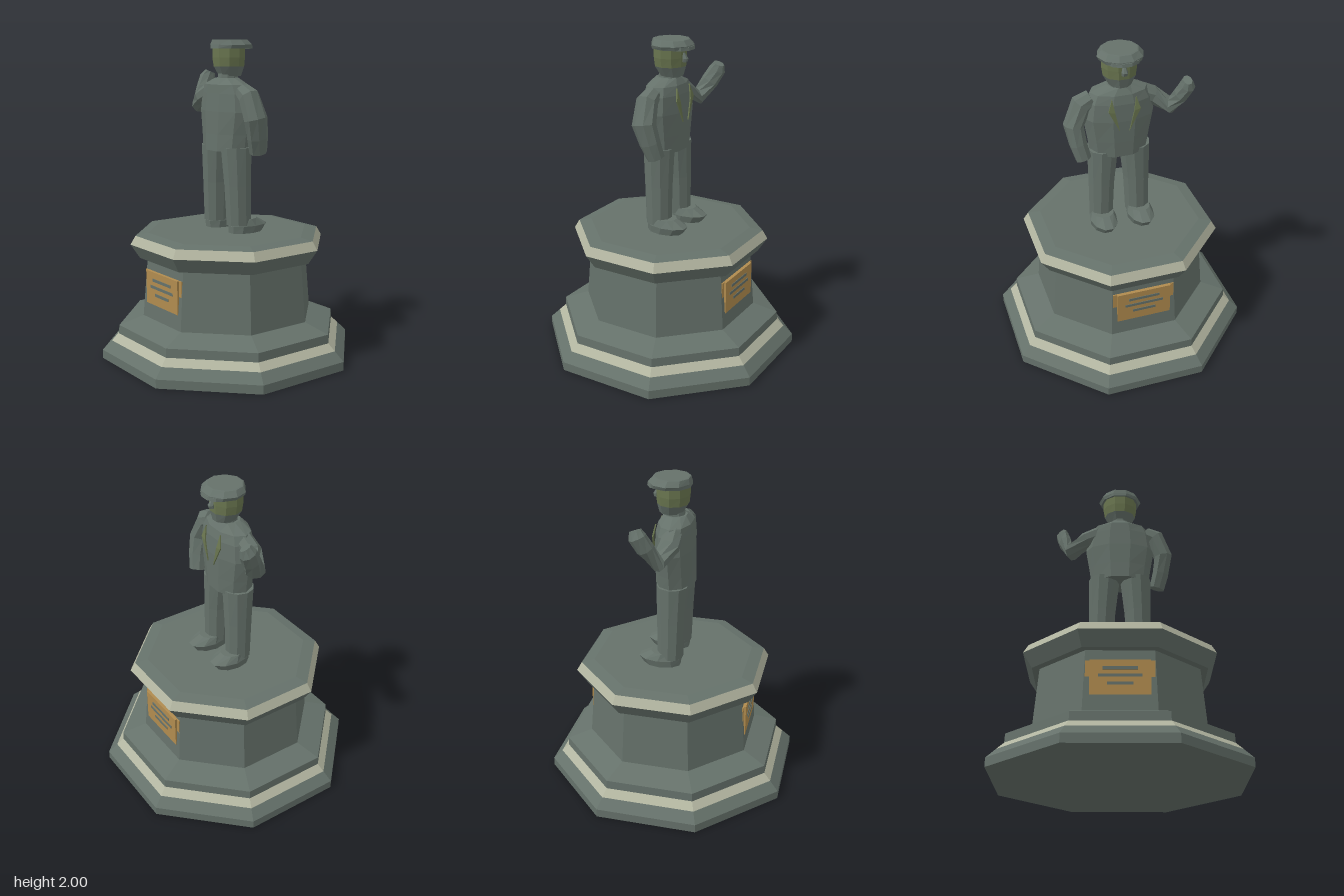
import * as THREE from 'three';

const V = (x, y, z) => new THREE.Vector3(x, y, z);
const material = (name, color) => {
  const m = new THREE.MeshStandardMaterial({ color });
  m.name = name;
  return m;
};

// Flat-faced skin over a list of rings, each an array of points
function skin(rings, capStart = true, capEnd = true) {
  const out = [];
  const tri = (...pts) => pts.forEach((p) => out.push(p.x, p.y, p.z));
  const n = rings[0].length;
  for (let k = 0; k < rings.length - 1; k++) {
    for (let i = 0; i < n; i++) {
      const j = (i + 1) % n, a = rings[k], b = rings[k + 1];
      tri(a[i], b[i], a[j]);
      tri(a[j], b[i], b[j]);
    }
  }
  const first = rings[0], last = rings[rings.length - 1];
  for (let i = 1; i < n - 1; i++) {
    if (capStart) tri(first[0], first[i], first[i + 1]);
    if (capEnd) tri(last[0], last[i + 1], last[i]);
  }
  const g = new THREE.BufferGeometry();
  g.setAttribute('position', new THREE.Float32BufferAttribute(out, 3));
  g.computeVertexNormals();
  return g;
}

// Ring spanned by two half-axes u and v around a centre
function ring(c, u, v, n, phase = 0) {
  return Array.from({ length: n }, (_, i) => {
    const a = ((i + phase) / n) * Math.PI * 2;
    return c.clone().addScaledVector(u, Math.cos(a)).addScaledVector(v, Math.sin(a));
  });
}

// Upright form from sections [y, centreX, centreZ, halfWidth, halfDepth]
const upright = (sections, n = 10) => skin(sections.map(([y, x, z, rx, rz]) =>
  ring(V(x, y, z), V(rx, 0, 0), V(0, 0, rz / Math.cos(Math.PI / 10)), n)));

// Bent limb from stations [x, y, z, radius, depthRadius], mitred at the bends
function limb(stations, n = 8) {
  const p = stations.map((s) => V(s[0], s[1], s[2]));
  return skin(p.map((c, i) => {
    const dir = V(0, 0, 0);
    if (i > 0) dir.add(c.clone().sub(p[i - 1]).normalize());
    if (i < p.length - 1) dir.add(p[i + 1].clone().sub(c).normalize());
    dir.normalize();
    const u = dir.clone().cross(V(0, 0, 1)).normalize();
    const v = u.clone().cross(dir);
    return ring(c, u.multiplyScalar(stations[i][3]), v.multiplyScalar(stations[i][4]), n, 0.5);
  }));
}

export function createModel() {
  const model = new THREE.Group();
  const stone = material('grey green stone', 0x65716a);
  const pale = material('pale stone trim', 0xb2b5a0);
  const brass = material('brass', 0xb08b4e);
  const olive = material('olive patina', 0x69754f);

  const add = (name, geometry, mat, parent = model) => {
    const m = new THREE.Mesh(geometry, mat);
    m.name = name;
    parent.add(m);
    return m;
  };

  // Octagonal plinth, [apothem, y] from the ground up
  const plinth = new THREE.Group();
  plinth.name = 'plinth';
  model.add(plinth);
  const octagon = ([r, y]) => {
    const R = r / Math.cos(Math.PI / 8);
    return ring(V(0, y, 0), V(R, 0, 0), V(0, 0, R), 8, 0.5);
  };
  const tiers = [
    ['foot', stone, [[0.76, 0], [0.76, 0.055], [0.705, 0.112]]],
    ['lowerTrim', pale, [[0.705, 0.112], [0.663, 0.155]]],
    ['shaft', stone, [[0.663, 0.155], [0.66, 0.21], [0.515, 0.265], [0.485, 0.64],
      [0.53, 0.64], [0.585, 0.73]]],
    ['upperTrim', pale, [[0.585, 0.73], [0.555, 0.785]]],
    ['top', stone, [[0.555, 0.785], [0.48, 0.8]]],
  ];
  for (const [name, mat, profile] of tiers) {
    add(name, skin(profile.map(octagon), name === 'foot', name === 'top'), mat, plinth);
  }

  // Plaques on the front and back faces
  for (const turn of [0, Math.PI]) {
    const plaque = new THREE.Group();
    plaque.name = turn ? 'backPlaque' : 'frontPlaque';
    plaque.rotation.y = turn;
    model.add(plaque);
    const slab = (name, w, h, d, y, z, mat) =>
      add(name, new THREE.BoxGeometry(w, h, d), mat, plaque).position.set(0, y, z);
    slab('backing', 0.4, 0.21, 0.02, 0.465, 0.4885, brass);
    slab('plate', 0.35, 0.21, 0.02, 0.465, 0.502, brass);
    for (const [y, w] of [[0.52, 0.2], [0.475, 0.25], [0.428, 0.15]]) {
      slab('engravedLine', w, 0.018, 0.004, y, 0.5135, stone);
    }
  }

  // Standing figure, facing -z
  const figure = new THREE.Group();
  figure.name = 'figure';
  model.add(figure);

  // Legs and shoes
  for (const s of [-1, 1]) {
    add('leg', upright([
      [0.85, s * 0.12, 0.005, 0.077, 0.078],
      [1.1, s * 0.114, 0.01, 0.084, 0.085],
      [1.34, s * 0.102, 0.015, 0.1, 0.095],
    ]), stone, figure);
    add('shoe', upright([
      [0.8, s * 0.124, -0.045, 0.078, 0.115],
      [0.845, s * 0.124, -0.06, 0.086, 0.132],
      [0.888, s * 0.122, -0.04, 0.07, 0.075],
    ]), stone, figure);
  }

  // Jacket
  add('jacket', upright([
    [1.315, 0, 0.015, 0.185, 0.115],
    [1.42, 0, 0.012, 0.2, 0.115],
    [1.56, 0, 0.01, 0.224, 0.115],
    [1.67, 0, 0.01, 0.208, 0.108],
    [1.725, 0, 0.015, 0.18, 0.1],
    [1.765, 0, 0.01, 0.075, 0.07],
  ]), stone, figure);

  // Lapels: thin folded strips running down the chest
  for (const s of [-1, 1]) {
    const pts = [[0.075, 1.715], [0.1, 1.64], [0.03, 1.5], [0.06, 1.63]]
      .map(([x, y]) => new THREE.Vector2(s * x, y));
    const g = new THREE.ExtrudeGeometry(new THREE.Shape(pts), { depth: 0.008, bevelEnabled: false });
    const pos = g.attributes.position;
    for (let i = 0; i < pos.count; i++) {
      pos.setZ(i, pos.getZ(i) - 0.118 + Math.max(0, pos.getY(i) - 1.62) * 0.2);
    }
    g.computeVertexNormals();
    add('lapel', g, olive, figure);
  }

  // Arm bent down towards the hip
  add('loweredArm', limb([
    [0.17, 1.69, 0.015, 0.05, 0.055],
    [0.232, 1.655, 0.015, 0.066, 0.068],
    [0.286, 1.525, 0.005, 0.062, 0.078],
    [0.268, 1.41, -0.025, 0.055, 0.07],
    [0.243, 1.315, -0.05, 0.05, 0.058],
  ]), stone, figure);

  // Raised, waving arm
  add('raisedArm', limb([
    [-0.13, 1.68, 0.025, 0.06, 0.062],
    [-0.22, 1.64, 0.025, 0.056, 0.064],
    [-0.325, 1.575, -0.02, 0.052, 0.062],
    [-0.368, 1.675, -0.08, 0.046, 0.058],
    [-0.39, 1.75, -0.12, 0.045, 0.055],
    [-0.382, 1.79, -0.135, 0.026, 0.038],
  ]), stone, figure);

  // Neck, jaw and upper head
  add('neck', upright([
    [1.74, 0, 0.005, 0.065, 0.065],
    [1.8, 0, 0, 0.06, 0.062],
  ]), stone, figure);
  add('jaw', upright([
    [1.775, 0, -0.015, 0.068, 0.07],
    [1.835, 0, -0.005, 0.102, 0.093],
  ]), stone, figure);
  add('upperHead', upright([
    [1.835, 0, -0.005, 0.102, 0.093],
    [1.89, 0, -0.003, 0.111, 0.097],
    [1.955, 0, -0.003, 0.111, 0.097],
  ]), olive, figure);
  add('nose', upright([
    [1.865, 0, -0.105, 0.018, 0.016],
    [1.885, 0, -0.108, 0.02, 0.02],
    [1.92, 0, -0.095, 0.01, 0.01],
  ], 6), stone, figure);

  // Flat cap with a forward peak
  add('cap', upright([
    [1.945, 0, -0.022, 0.13, 0.128],
    [1.967, 0, -0.022, 0.142, 0.125],
    [1.998, 0, -0.012, 0.115, 0.108],
    [2.0, 0, -0.012, 0.105, 0.1],
  ]), stone, figure);
  add('capPeak', upright([
    [1.942, 0, -0.085, 0.1, 0.072],
    [1.962, 0, -0.085, 0.1, 0.068],
  ]), stone, figure);

  return model;
}
